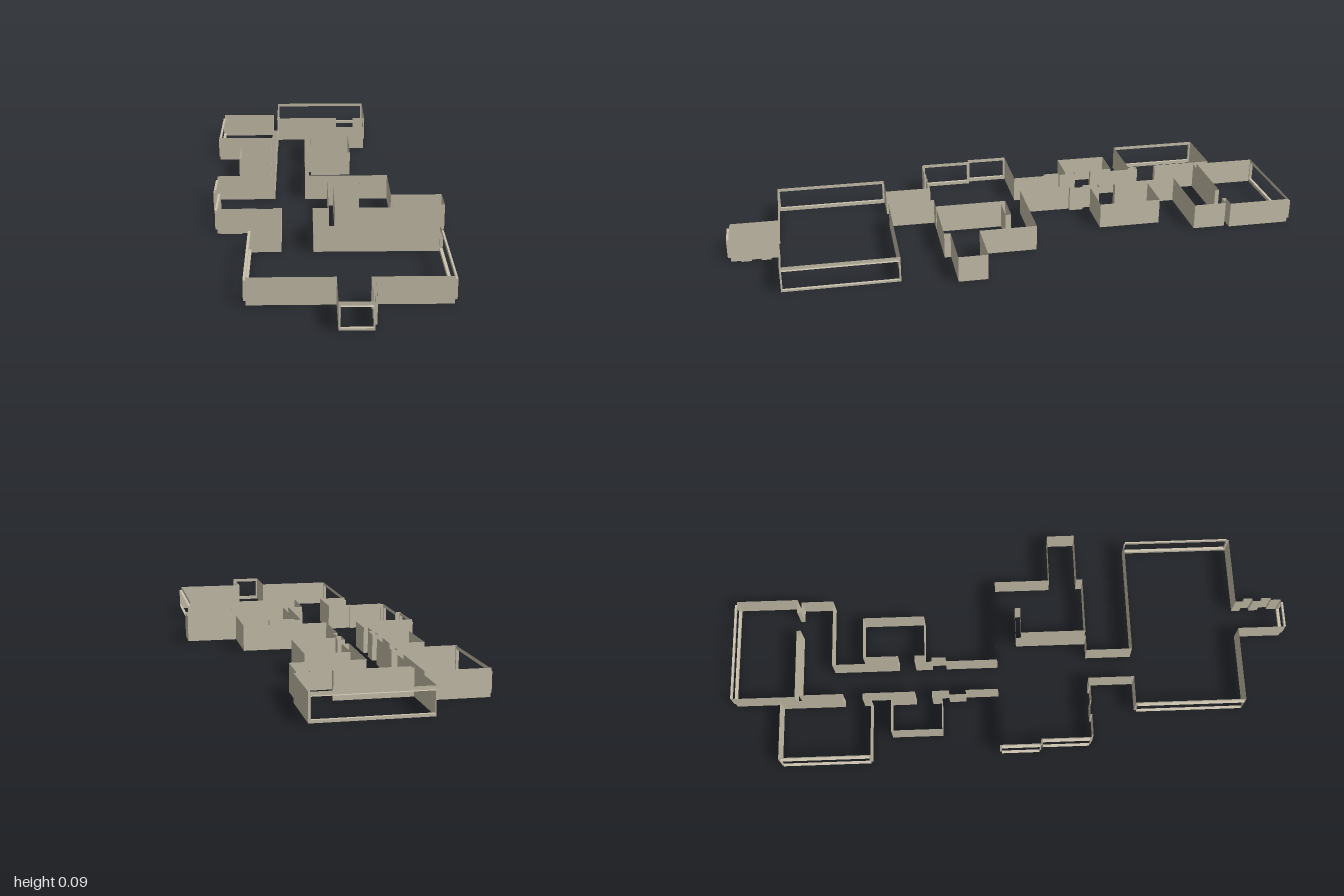
import * as THREE from 'three';
import { mergeGeometries } from 'three/addons/utils/BufferGeometryUtils.js';

const H = 0.091;       // wall height
const DEPTH = 0.01;    // window reveal depth
const SIDE = 0.006;    // window border at the sides
const RIM = 0.012;     // window border above and below

// Move a geometry drawn along local x so that it runs from a to b on the plan
function alongWall(geometry, [ax, az], [bx, bz]) {
  return geometry.rotateY(Math.atan2(az - bz, bx - ax)).translate(ax, 0, az);
}
const span = (a, b) => Math.hypot(b[0] - a[0], b[1] - a[1]);

// Thin walls following a run of plan points [x, z]
function wallRun(points) {
  const panels = points.slice(1).map((b, i) => {
    const a = points[i], length = span(a, b);
    return alongWall(new THREE.PlaneGeometry(length, H).translate(length / 2, H / 2, 0), a, b);
  });
  return mergeGeometries(panels);
}

// Wall with a large opening and a shallow reveal on its outer side
function windowWall(a, b) {
  const length = span(a, b), w = length - 2 * SIDE, h = H - 2 * RIM;
  const shape = new THREE.Shape([[0, 0], [length, 0], [length, H], [0, H]].map(p => new THREE.Vector2(...p)));
  const [l, r, lo, hi] = [SIDE, length - SIDE, RIM, H - RIM];
  shape.holes.push(new THREE.Path([[l, lo], [l, hi], [r, hi], [r, lo]].map(p => new THREE.Vector2(...p))));
  const parts = [new THREE.ShapeGeometry(shape)];
  for (const y of [lo, hi]) {
    parts.push(new THREE.PlaneGeometry(w, DEPTH).rotateX(Math.PI / 2).translate(length / 2, y, DEPTH / 2));
  }
  for (const x of [l, r]) {
    parts.push(new THREE.PlaneGeometry(DEPTH, h).rotateY(Math.PI / 2).translate(x, H / 2, DEPTH / 2));
  }
  return alongWall(mergeGeometries(parts), a, b);
}

// Wall runs, from the back of the plan to the front
const walls = {
  backRoomWalls: [
    [[-0.185, -0.99], [-0.185, -0.77], [0.065, -0.77], [0.065, -0.755], [-0.18, -0.755], [-0.18, -0.6],
      [-0.2, -0.6], [-0.2, -0.82], [-0.41, -0.82]],
    [[0.185, -0.99], [0.185, -0.77], [0.135, -0.77], [0.135, -0.755], [0.175, -0.755], [0.175, -0.64],
      [-0.07, -0.64], [-0.07, -0.405], [-0.045, -0.405], [-0.045, -0.53], [0.105, -0.53], [0.105, -0.31],
      [-0.045, -0.31], [-0.045, -0.345], [-0.07, -0.345], [-0.07, -0.285], [-0.055, -0.285],
      [-0.055, -0.235], [-0.07, -0.235], [-0.07, -0.05], [0.23, -0.05]],
  ],
  sideRoomWalls: [
    [[-0.41, -0.5], [-0.2, -0.5], [-0.2, -0.53], [-0.18, -0.53], [-0.18, -0.345], [-0.2, -0.345],
      [-0.2, -0.43], [-0.32, -0.43], [-0.32, -0.25], [-0.2, -0.25], [-0.2, -0.285], [-0.18, -0.285],
      [-0.18, -0.225], [-0.195, -0.225], [-0.195, -0.165], [-0.18, -0.165], [-0.18, -0.05], [-0.39, -0.05]],
  ],
  middleRoomWalls: [
    [[0.23, -0.05], [0.23, 0.15], [0.408, 0.15], [0.408, 0.25], [0.23, 0.25], [0.23, 0.272], [0.03, 0.272],
      [0.03, 0.04], [0.125, 0.04], [0.125, 0.02], [0.01, 0.02], [0.01, 0.272], [-0.045, 0.272],
      [-0.045, 0.435], [0.372, 0.435]],
    [[-0.39, 0.095], [-0.37, 0.095]],
    [[-0.37, 0.272], [-0.36, 0.272], [-0.36, 0.278], [-0.285, 0.278], [-0.285, 0.272], [-0.235, 0.272],
      [-0.235, 0.278], [-0.18, 0.278], [-0.18, 0.272], [-0.15, 0.272], [-0.15, 0.435], [-0.25, 0.435]],
  ],
  frontRoomWalls: [
    [[-0.25, 0.825], [0.02, 0.825], [0.02, 0.99]],
    [[0.372, 0.825], [0.122, 0.825], [0.122, 0.855], [0.133, 0.855], [0.133, 0.888], [0.122, 0.888],
      [0.122, 0.92], [0.133, 0.92], [0.133, 0.955], [0.125, 0.955], [0.125, 0.99]],
  ],
};

// Each window runs so that its outer side is on the right of the start
const windows = {
  backWindow: [[0.185, -0.99], [-0.185, -0.99]],
  sideRoomWindow: [[-0.405, -0.82], [-0.405, -0.5]],
  middleWindowBack: [[-0.385, -0.05], [-0.385, 0.095]],
  middleWindowFront: [[-0.368, 0.095], [-0.368, 0.272]],
  frontRoomRightWindow: [[-0.248, 0.435], [-0.248, 0.825]],
  frontRoomLeftWindow: [[0.37, 0.825], [0.37, 0.435]],
  entranceWindow: [[0.02, 0.99], [0.125, 0.99]],
};

export function createModel() {
  const model = new THREE.Group();
  model.name = 'floorPlanWalls';
  const plaster = new THREE.MeshStandardMaterial({ color: 0xcbc3ae, side: THREE.DoubleSide });
  plaster.name = 'plaster';

  const add = (name, geometry) => {
    const mesh = new THREE.Mesh(geometry, plaster);
    mesh.name = name;
    model.add(mesh);
  };
  for (const [name, runs] of Object.entries(walls)) add(name, mergeGeometries(runs.map(wallRun)));
  for (const [name, [a, b]] of Object.entries(windows)) add(name, windowWall(a, b));
  return model;
}
